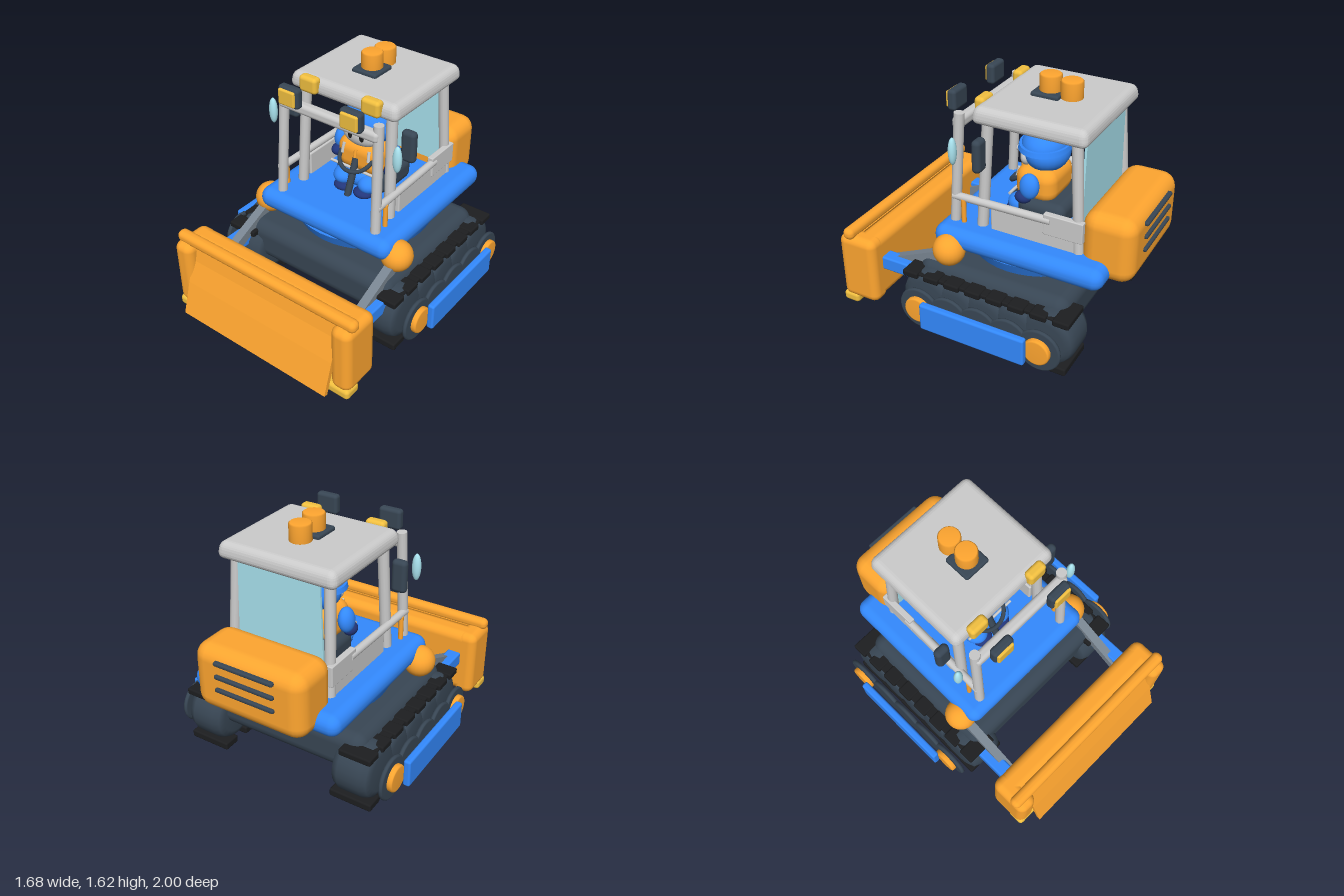
import * as THREE from 'three';
import { RoundedBoxGeometry } from 'three/addons/geometries/RoundedBoxGeometry.js';

const mat = (color) => new THREE.MeshStandardMaterial({ color });
const M = {
  blue: mat(0x338aff), orange: mat(0xffa630), slate: mat(0x384654), black: mat(0x1d1e20),
  grey: mat(0xcccccc), steel: mat(0x7a8692), yellow: mat(0xf2c040), glass: mat(0xaae4f0), navy: mat(0x22367a),
};
M.glass.side = THREE.DoubleSide;
const toPoints = (list) => list.map(p => new THREE.Vector2(...p));

export function createModel() {
  const model = new THREE.Group();
  const add = (name, geo, material, x = 0, y = 0, z = 0) => {
    const m = new THREE.Mesh(geo, material);
    m.name = name;
    m.position.set(x, y, z);
    model.add(m);
    return m;
  };
  // rounded box from its min/max limits
  const box = (name, material, [x0, x1], [y0, y1], [z0, z1], r = 0.02) =>
    add(name, new RoundedBoxGeometry(x1 - x0, y1 - y0, z1 - z0, 3, r), material,
      (x0 + x1) / 2, (y0 + y1) / 2, (z0 + z1) / 2);
  // the same box on the side s = +1 (left) or -1 (right)
  const sideBox = (s, name, material, xs, ys, zs, r) =>
    box(name, material, s > 0 ? xs : [-xs[1], -xs[0]], ys, zs, r);
  const ball = (name, material, [x, y, z], [rx, ry, rz]) => {
    const m = add(name, new THREE.SphereGeometry(1, 24, 16), material, x, y, z);
    m.scale.set(rx, ry, rz);
    return m;
  };
  // bar between two points
  const bar = (name, material, a, b, r) => {
    const p = new THREE.Vector3(...a), d = new THREE.Vector3(...b).sub(p);
    const m = add(name, new THREE.CylinderGeometry(r, r, d.length(), 12), material);
    m.position.copy(p).addScaledVector(d, 0.5);
    m.quaternion.setFromUnitVectors(new THREE.Vector3(0, 1, 0), d.normalize());
    return m;
  };
  // wheel lying along x, with rounded rims, of width 2h
  const wheel = (name, material, r, x, h, y, z, bevel) => {
    const pts = [[0, -h], [r - bevel, -h], [r - bevel * 0.3, -h + bevel * 0.3], [r, -h + bevel],
      [r, h - bevel], [r - bevel * 0.3, h - bevel * 0.3], [r - bevel, h], [0, h]];
    const geo = new THREE.LatheGeometry(toPoints(pts), 24).rotateZ(-Math.PI / 2);
    return add(name, geo, material, x, y, z);
  };

  // hull, turntable and platform
  box('chassis', M.slate, [-0.6, 0.6], [0.17, 0.455], [-0.67, 0.39], 0.09);
  add('turntable', new THREE.CylinderGeometry(0.5, 0.45, 0.1, 40), M.blue, 0, 0.49, -0.2);
  add('rearBoss', new THREE.CylinderGeometry(0.22, 0.21, 0.12, 32), M.blue, 0, 0.49, -0.545);
  box('platform', M.blue, [-0.527, 0.527], [0.53, 0.68], [-0.845, 0.31], 0.072);

  // engine cover with vents
  box('engineCover', M.orange, [-0.39, 0.39], [0.535, 0.975], [-0.98, -0.64], 0.095);
  for (const y of [0.72, 0.81, 0.9])
    box('ventSlot', M.slate, [-0.21, 0.21], [y - 0.014, y + 0.014], [-1, -0.96], 0.012);

  // blade with a curved face
  box('bladeBack', M.orange, [-0.7, 0.7], [0.06, 0.525], [0.65, 0.82], 0.06);
  box('bladeTopBar', M.orange, [-0.715, 0.715], [0.5, 0.58], [0.805, 0.885], 0.036);
  box('bladeLip', M.yellow, [-0.708, 0.708], [0, 0.072], [0.81, 0.93], 0.025);
  const profile = new THREE.Shape(toPoints([[1, 0.03], [0.93, 0.25], [0.875, 0.4], [0.845, 0.52],
    [0.8, 0.52], [0.845, 0.38], [0.9, 0.24], [0.972, 0.025]]));
  add('bladeFace', new THREE.ExtrudeGeometry(profile, { depth: 1.18, bevelEnabled: false })
    .rotateY(-Math.PI / 2), M.orange, 0.59);

  for (const s of [1, -1]) {
    sideBox(s, 'bladeEnd', M.orange, [0.565, 0.71], [0.045, 0.525], [0.65, 0.928], 0.055);
    // push arms
    sideBox(s, 'pushArm', M.blue, [0.515, 0.61], [0.28, 0.375], [0.2, 0.68], 0.012);
    const strut = add('liftStrut', new THREE.BoxGeometry(0.06, 0.065, 0.6), M.steel, s * 0.525, 0.41, 0.41);
    strut.rotation.x = 0.42;
    ball('strutJoint', M.orange, [s * 0.525, 0.54, 0.18], [0.105, 0.105, 0.105]);

    // tracks
    sideBox(s, 'trackCore', M.slate, [0.45, 0.66], [0.05, 0.38], [-0.62, 0.32], 0.06);
    sideBox(s, 'lowerBelt', M.black, [0.48, 0.69], [0.01, 0.052], [-0.72, 0.43], 0.012);
    sideBox(s, 'upperBelt', M.black, [0.5, 0.67], [0.36, 0.39], [-0.7, 0.42], 0.01);
    for (let i = 0; i < 5; i++) {
      const z = 0.27 - i * 0.21, end = i % 4 === 0;
      wheel('trackWheel', M.slate, end ? 0.19 : 0.165, s * 0.55, 0.135, 0.215, z, 0.06);
      wheel('outerDisc', M.slate, 0.145, s * 0.748, 0.015, 0.197, z, 0.012);
    }
    for (let i = 0; i < 8; i++) {
      const z = 0.38 - i * 0.151;
      sideBox(s, 'topPad', M.black, [0.47, 0.69], [0.355, 0.4], [z - 0.055, z + 0.055], 0.012);
    }
    for (let i = 0; i < 6; i++) {
      const z = 0.37 - i * 0.206;
      sideBox(s, 'bottomPad', M.black, [0.4, 0.692], [0.002, 0.055], [z - 0.06, z + 0.06], 0.012);
    }
    for (const z of [0.27, -0.57])
      wheel('hubCap', M.orange, 0.088, s * 0.775, 0.022, 0.205, z, 0.012);
    sideBox(s, 'trackGuard', M.blue, [0.79, 0.838], [0.11, 0.3], [-0.51, 0.22], 0.015);

    // cab frame
    bar('frontPost', M.grey, [s * 0.38, 0.66, 0.215], [s * 0.36, 1.42, 0.175], 0.033);
    bar('middlePost', M.grey, [s * 0.355, 0.66, 0.03], [s * 0.33, 1.42, -0.005], 0.036);
    bar('rearPost', M.grey, [s * 0.355, 0.66, -0.63], [s * 0.325, 1.42, -0.58], 0.034);
    bar('sideRail', M.grey, [s * 0.385, 0.855, 0.22], [s * 0.375, 0.855, -0.45], 0.026);
    sideBox(s, 'sidePanel', M.grey, [0.345, 0.38], [0.66, 0.84], [-0.64, -0.04], 0.01);
    sideBox(s, 'sideBox', M.grey, [0.35, 0.392], [0.76, 0.9], [-0.665, -0.405], 0.006);
    bar('grabHandle', M.orange, [s * 0.4, 0.69, 0.14], [s * 0.4, 0.85, 0.14], 0.016);

    // mirrors and lamps
    sideBox(s, 'mirrorHousing', M.slate, [0.405, 0.505], [1.115, 1.33], [-0.04, 0.02], 0.028);
    ball('mirrorLens', M.glass, [s * 0.482, 1.22, 0.155], [0.03, 0.09, 0.026]);
    sideBox(s, 'frontLampHousing', M.slate, [0.155, 0.31], [1.385, 1.52], [0.235, 0.295], 0.022);
    sideBox(s, 'frontLampLens', M.yellow, [0.172, 0.297], [1.4, 1.505], [0.27, 0.31], 0.012);
    sideBox(s, 'roofLamp', M.yellow, [0.17, 0.305], [1.4, 1.51], [0.04, 0.11], 0.025);
  }
  box('frontCrossbar', M.grey, [-0.38, 0.38], [1.312, 1.385], [0.155, 0.225], 0.026);

  // roof, narrowed slightly towards its top
  const roof = box('roof', M.grey, [-0.415, 0.415], [1.385, 1.495], [-0.675, 0.08], 0.045);
  const rp = roof.geometry.attributes.position;
  for (let i = 0; i < rp.count; i++) {
    const k = 1 - 0.04 * (rp.getY(i) / 0.11 + 0.5);
    rp.setX(i, rp.getX(i) * k);
    rp.setZ(i, rp.getZ(i) * k);
  }
  roof.geometry.computeVertexNormals();

  // rear window
  const pane = new THREE.Shape(toPoints([[-0.31, 0.75], [0.31, 0.75], [0.285, 1.39], [-0.285, 1.39]]));
  add('rearWindow', new THREE.ExtrudeGeometry(pane, { depth: 0.015, bevelEnabled: false }), M.glass, 0, 0, -0.625);

  // beacons
  box('beaconBase', M.slate, [-0.092, 0.092], [1.48, 1.52], [-0.34, -0.155], 0.015);
  for (const [y, z] of [[1.57, -0.25], [1.555, -0.39]]) {
    const pts = [[0, -0.065], [0.064, -0.065], [0.07, -0.058], [0.07, 0.045], [0.062, 0.053], [0, 0.053]];
    add('beacon', new THREE.LatheGeometry(toPoints(pts), 24), M.orange, 0, y, z);
  }

  // seat and steering
  box('seat', M.slate, [-0.21, 0.21], [0.67, 0.84], [-0.45, -0.12], 0.06);
  bar('steeringColumn', M.slate, [0, 0.66, 0.01], [0, 0.92, -0.09], 0.024);
  const steering = add('steeringWheel', new THREE.TorusGeometry(0.125, 0.014, 10, 32), M.slate, 0, 0.94, -0.1);
  steering.rotation.x = -0.9;

  // driver
  box('driverBody', M.orange, [-0.175, 0.175], [0.8, 1.035], [-0.36, -0.08], 0.085);
  ball('driverTrousers', M.blue, [0, 0.765, -0.2], [0.2, 0.09, 0.15]);
  bar('lapBar', M.grey, [-0.19, 0.845, -0.07], [0.19, 0.845, -0.07], 0.01);
  ball('driverHead', M.blue, [0, 1.11, -0.24], [0.168, 0.13, 0.145]);
  ball('driverFace', M.grey, [0, 1.075, -0.135], [0.135, 0.077, 0.055]);
  for (const s of [1, -1]) {
    ball('driverEye', M.black, [s * 0.045, 1.09, -0.085], [0.017, 0.032, 0.014]);
    const arm = ball('driverArm', M.blue, [s * 0.21, 0.945, -0.22], [0.05, 0.085, 0.065]);
    arm.rotation.z = s * 0.1;
    ball('driverHand', M.navy, [s * 0.215, 0.865, -0.18], [0.045, 0.042, 0.055]);
    ball('driverLeg', M.blue, [s * 0.1, 0.75, -0.11], [0.08, 0.065, 0.09]);
    ball('driverBoot', M.navy, [s * 0.08, 0.695, -0.06], [0.07, 0.035, 0.06]);
    bar('vestStrap', M.grey, [s * 0.105, 0.93, -0.08], [s * 0.1, 1.0, -0.095], 0.012);
  }
  bar('vestZip', M.orange, [0, 0.93, -0.075], [0, 0.985, -0.085], 0.012);
  // hard hat
  const dome = add('hatDome', new THREE.SphereGeometry(1, 28, 12, 0, Math.PI * 2, 0, Math.PI / 2), M.blue, 0, 1.155, -0.225);
  dome.scale.set(0.175, 0.125, 0.145);
  const brim = add('hatBrim', new THREE.CylinderGeometry(0.192, 0.2, 0.032, 32), M.blue, 0, 1.155, -0.225);
  brim.scale.z = 0.83;
  box('hatRidge', M.blue, [-0.025, 0.025], [1.24, 1.29], [-0.3, -0.14], 0.015);

  return model;
}
